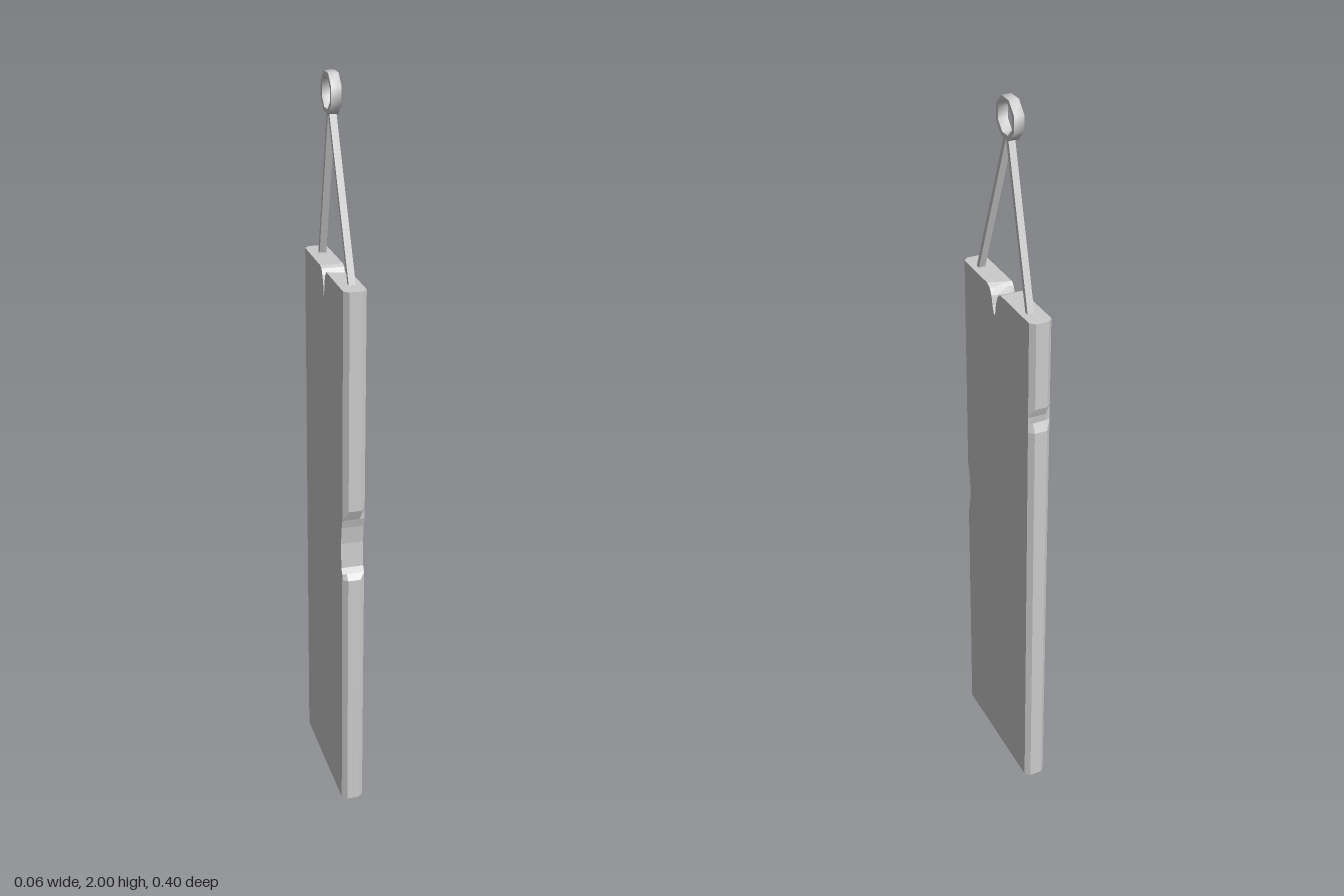
import * as THREE from 'three';
import { toCreasedNormals } from 'three/addons/utils/BufferGeometryUtils.js';

const HALF = 0.03, INNER = 0.017, EDGE = 0.187;

// Plank outline as [z, y], counter-clockwise, with worn notches
const outline = [
  [-0.2, 0], [0.2, 0],
  // front edge chip
  [0.2, 0.71], [0.187, 0.725], [0.178, 0.74], [0.174, 0.81], [0.18, 0.86], [0.187, 0.885], [0.2, 0.915],
  [0.2, 1.51],
  // split in the top edge
  [0.05, 1.51], [0.035, 1.502], [0.024, 1.485], [0.018, 1.46], [0.01, 1.44], [0.003, 1.44],
  [0, 1.465], [-0.008, 1.49], [-0.018, 1.505], [-0.03, 1.51],
  [-0.2, 1.51],
  // back edge nick
  [-0.2, 1.27], [-0.191, 1.245], [-0.189, 1.225], [-0.2, 1.2],
];

// Cross-section of the plank at a given x: chamfered at the faces, split narrower towards -x
function section(x) {
  const limit = Math.abs(x) > INNER ? EDGE : 0.2;
  const narrow = 0.8 + 0.2 * x / HALF;
  return outline.map(([z, y]) => {
    const inSplit = y > 1.43 && z > 0 && z < 0.1;
    return new THREE.Vector3(x, y, THREE.MathUtils.clamp(inSplit ? z * narrow : z, -limit, limit));
  });
}

function plankGeometry() {
  const loops = [-HALF, -INNER, INNER, HALF].map(section);
  const pos = [];
  const tri = (a, b, c) => [a, b, c].forEach(p => pos.push(p.x, p.y, p.z));
  // side walls
  for (let k = 0; k < 3; k++) {
    loops[k].forEach((a, i) => {
      const j = (i + 1) % outline.length;
      const b = loops[k + 1][i], c = loops[k + 1][j], d = loops[k][j];
      tri(a, b, c);
      tri(a, c, d);
    });
  }
  // broad faces
  for (const [loop, flip] of [[loops[0], false], [loops[3], true]]) {
    const flat = loop.map(p => new THREE.Vector2(p.z, p.y));
    for (const [a, b, c] of THREE.ShapeUtils.triangulateShape(flat, [])) {
      if (flip) tri(loop[a], loop[c], loop[b]);
      else tri(loop[a], loop[b], loop[c]);
    }
  }
  const g = new THREE.BufferGeometry();
  g.setAttribute('position', new THREE.Float32BufferAttribute(pos, 3));
  g.computeVertexNormals();
  return g;
}

export function createModel() {
  const group = new THREE.Group();
  const material = new THREE.MeshStandardMaterial({ color: 0xcccccc });
  const add = (name, geometry) => {
    const mesh = new THREE.Mesh(geometry, material);
    mesh.name = name;
    group.add(mesh);
    return mesh;
  };

  add('plank', plankGeometry());

  // Two flat straps rising to the ring
  for (const [name, side] of [['frontStrap', 1], ['backStrap', -1]]) {
    const foot = new THREE.Vector3(0.005, 1.5, side * 0.144);
    const head = new THREE.Vector3(-0.008, 1.908, side * 0.004);
    const strap = add(name, new THREE.BoxGeometry(0.018, foot.distanceTo(head), 0.012));
    strap.position.copy(foot).lerp(head, 0.5);
    strap.quaternion.setFromUnitVectors(new THREE.Vector3(0, 1, 0), head.sub(foot).normalize());
  }

  // Eight-sided hanging ring
  const h = 0.013, outer = 0.053, inner = 0.041;
  const profile = [[inner, -h], [outer, -h], [outer, h], [inner, h], [inner, -h]]
    .map(([r, y]) => new THREE.Vector2(r, y));
  const ringGeometry = new THREE.LatheGeometry(profile, 8, Math.PI / 8);
  const ring = add('hangingRing', toCreasedNormals(ringGeometry, 0.9));
  ring.rotation.z = Math.PI / 2;
  ring.position.set(-0.009, 1.951, 0);

  return group;
}
